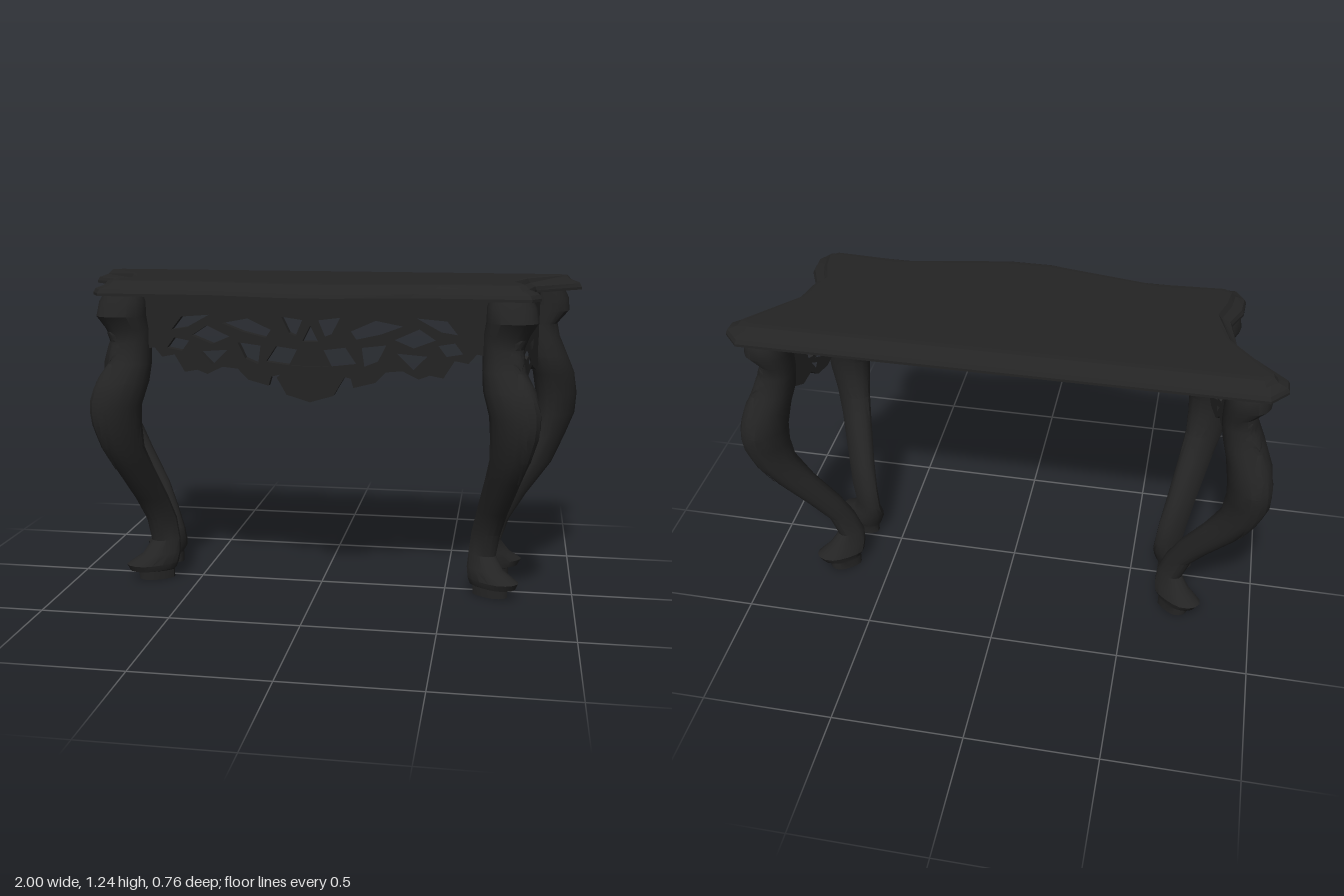
import * as THREE from 'three';
import { toCreasedNormals } from 'three/addons/utils/BufferGeometryUtils.js';

const V2 = (p) => new THREE.Vector2(p[0], p[1]);
const mirrorX = (pts) => pts.map(([x, y]) => [-x, y]);

// Grid of points (rows x columns) to a creased mesh; flip reverses the winding
function gridGeometry(rows, flip, closed, crease) {
  const n = rows[0].length, index = [];
  for (let j = 0; j < rows.length - 1; j++) {
    for (let i = 0; i < (closed ? n : n - 1); i++) {
      const a = j * n + i, b = j * n + (i + 1) % n, c = a + n, d = b + n;
      if (flip) index.push(a, c, b, b, c, d);
      else index.push(a, b, c, b, d, c);
    }
  }
  const geo = new THREE.BufferGeometry();
  geo.setAttribute('position', new THREE.Float32BufferAttribute(rows.flat(2), 3));
  geo.setIndex(index);
  return toCreasedNormals(geo, crease);
}

// Leg sections, top to bottom: y, x inner, x outer, z back, z front
const FRONT_LEG = [
  [1.19, .65, .80, .13, .28], [1.155, .64, .82, .13, .295], [1.10, .64, .83, .135, .308],
  [1.05, .63, .80, .135, .28], [1.0, .63, .78, .135, .275], [.92, .63, .79, .14, .295],
  [.85, .635, .83, .16, .335], [.76, .66, .85, .195, .345], [.68, .665, .84, .19, .335],
  [.59, .665, .815, .18, .305], [.5, .65, .785, .125, .255], [.35, .62, .74, .035, .145],
  [.25, .60, .715, -.005, .08], [.16, .59, .70, -.015, .07], [.11, .585, .73, -.012, .115],
  [.07, .59, .79, -.005, .15], [.045, .60, .78, 0, .14], [.035, .61, .75, .005, .10],
  [0, .61, .75, .005, .10], [0, .68, .68, .05, .05],
];
const BACK_LEG = [
  [1.19, .79, .93, -.33, -.16], [1.15, .79, .95, -.345, -.16], [1.10, .79, .955, -.345, -.16],
  [1.05, .79, .91, -.32, -.16], [1.0, .79, .92, -.315, -.16], [.92, .80, .955, -.335, -.15],
  [.85, .82, .985, -.36, -.17], [.76, .835, 1.0, -.38, -.195], [.68, .84, .995, -.365, -.2],
  [.59, .83, .96, -.345, -.2], [.48, .77, .91, -.30, -.185], [.35, .69, .81, -.25, -.15],
  [.25, .645, .745, -.21, -.125], [.16, .615, .715, -.2, -.115], [.11, .61, .75, -.23, -.118],
  [.07, .615, .80, -.265, -.125], [.045, .63, .785, -.255, -.13], [.035, .63, .75, -.24, -.14],
  [0, .63, .75, -.24, -.14], [0, .69, .69, -.19, -.19],
];

// Point on a leg section: round at the top, lower down squarer and drawn out along the diagonal (sign lean)
function legPoint([y, x0, x1, z0, z1], angle, side, lean, swell = 1) {
  const low = THREE.MathUtils.clamp((1.05 - y) / .5, 0, 1);
  const soft = (v) => Math.sign(v) * Math.pow(Math.abs(v), .85 + .3 * low) * swell / 2;
  const skew = lean * .2 * low;
  return [side * ((x0 + x1) / 2 + (x1 - x0) * soft(Math.cos(angle - skew))), y,
    (z0 + z1) / 2 + (z1 - z0) * soft(Math.sin(angle + skew))];
}

function sectionAt(sections, y) {
  const j = sections.findIndex((s, i) => sections[i + 1][0] <= y);
  const a = sections[j], b = sections[j + 1], t = (a[0] - y) / (a[0] - b[0]);
  return a.map((v, k) => v + (b[k] - v) * t);
}

function makeLeg(name, sections, side, lean, mat) {
  const group = new THREE.Group();
  group.name = name;
  const N = 16;
  const rows = sections.map((s) =>
    Array.from({ length: N }, (_, i) => legPoint(s, i * Math.PI * 2 / N, side, lean)));
  const body = new THREE.Mesh(gridGeometry(rows, side < 0, true, .6), mat);
  body.name = 'cabrioleLeg';
  group.add(body);
  // Carved leaves with jagged edges on the outer face: below the capital and over the knee
  for (const [top, bottom, width] of [[1.04, .93, .65], [.92, .5, .8]]) {
    const steps = 9, leafRows = [];
    for (let j = 0; j <= steps; j++) {
      const t = j / steps;
      const half = width * Math.sin(Math.PI * (.12 + .86 * t)) * (j % 2 ? 1 : .7);
      const s = sectionAt(sections, top + (bottom - top) * t);
      leafRows.push([-1, -.5, 0, .5, 1].map((k) =>
        legPoint(s, lean * Math.PI / 4 + k * half, side, lean, 1.07 - .05 * k * k)));
    }
    const leaf = new THREE.Mesh(gridGeometry(leafRows, side < 0, false, .4), mat);
    leaf.name = 'carvedLeaf';
    group.add(leaf);
  }
  return group;
}

// Table top: outer lip and inner field outlines (right half, x and z, front to back)
const LIP = [[.08, .38], [.37, .31], [.80, .31], [.835, .25], [.83, .17], [.79, .08],
  [.82, -.09], [1, -.26], [1, -.31], [.94, -.378]];
const FIELD = [[.09, .295], [.51, .225], [.735, .245], [.76, .235], [.745, .16], [.72, .07],
  [.775, -.09], [.92, -.28], [.925, -.295], [.90, -.305]];

function makeTop(mat) {
  const group = new THREE.Group();
  group.name = 'tableTop';
  const full = (half) => [...half, ...mirrorX(half).reverse()];
  const lip = full(LIP), field = full(FIELD);
  const outline = (t) => lip.map(([x, z], i) => [x + (field[i][0] - x) * t, z + (field[i][1] - z) * t]);
  const profile = [[1, 1.236], [.75, 1.234], [.55, 1.217], [.1, 1.204], [0, 1.19], [0, 1.18], [.3, 1.18]];
  // The outline runs front to back on +x, so the winding is reversed
  const rows = profile.map(([t, y]) => outline(t).map(([x, z]) => [x, y, z]));
  const edge = new THREE.Mesh(gridGeometry(rows, true, true, .3), mat);
  edge.name = 'mouldedEdge';
  group.add(edge);
  for (const [name, t, y, turn] of [['topField', 1, 1.236, -1], ['underside', .3, 1.18, 1]]) {
    const geo = new THREE.ShapeGeometry(new THREE.Shape(outline(t).map(([x, z]) => V2([x, turn * z]))));
    geo.rotateX(turn * Math.PI / 2);
    geo.translate(0, y, 0);
    const cap = new THREE.Mesh(geo, mat);
    cap.name = name;
    group.add(cap);
  }
  return group;
}

// Pierced panel cut in a flat shape, then set in place by a rule
function piercedPanel(name, outline, holes, depth, place, mat) {
  const shape = new THREE.Shape(outline.map(V2));
  shape.holes = holes.map((h) => new THREE.Path(h.map(V2)));
  const geo = new THREE.ExtrudeGeometry(shape, { depth, bevelEnabled: false });
  geo.translate(0, 0, -depth / 2);
  const p = geo.attributes.position;
  for (let i = 0; i < p.count; i++) p.setXYZ(i, ...place(p.getX(i), p.getY(i), p.getZ(i)));
  geo.computeVertexNormals();
  const mesh = new THREE.Mesh(geo, mat);
  mesh.name = name;
  return mesh;
}

// Left half of the front apron, with half of the middle opening notched into its inner edge
const APRON_EDGE = [[0, 1.18], [.66, 1.18], [.66, .97], [.61, .98], [.58, .945], [.53, .955], [.49, .89],
  [.44, .90], [.40, .885], [.34, .915], [.28, .91], [.24, .87], [.16, .85], [.15, .885], [.09, .9],
  [0, .9], [0, 1.02], [.03, 1.02], [0, 1.08]];
const APRON_HOLES = [
  [[.03, 1.10], [.11, 1.11], [.08, 1.05], [.055, 1.04]],
  [[.05, .99], [.13, 1.0], [.17, .94], [.08, .93]],
  [[.15, 1.06], [.24, 1.10], [.34, 1.08], [.26, 1.05], [.17, 1.03]],
  [[.19, 1.0], [.28, 1.01], [.25, .95], [.20, .93]],
  [[.31, 1.03], [.40, 1.07], [.46, 1.03], [.38, 1.0]],
  [[.32, .98], [.43, .97], [.38, .92]],
  [[.39, 1.11], [.50, 1.10], [.54, 1.05], [.48, 1.06]],
  [[.47, 1.01], [.53, 1.02], [.56, .98], [.50, .97]],
];
const SIDE_EDGE = [[.17, 1.18], [.17, .9], [.13, .9], [.11, .875], [.06, .905], [.01, .87], [-.05, .865],
  [-.09, .90], [-.14, .875], [-.2, .9], [-.2, 1.18]];
const SIDE_HOLES = [
  [[.05, 1.10], [.02, 1.11], [-.02, 1.065], [-.06, 1.10], [-.10, 1.09], [-.10, 1.04], [-.02, 1.02], [.06, 1.025]],
  [[.06, 1.0], [.01, .985], [.03, .96], [.055, .965]],
  [[-.10, 1.0], [-.05, .985], [-.07, .96], [-.095, .965]],
  [[-.02, .965], [.015, .945], [-.02, .93], [-.055, .945]],
  [[.04, .935], [.01, .92], [.02, .9]],
  [[-.08, .935], [-.05, .92], [-.06, .9]],
];

export function createModel() {
  const wood = new THREE.MeshStandardMaterial({ color: 0x242424 });
  wood.name = 'blackWood';
  const table = new THREE.Group();
  table.name = 'consoleTable';
  table.add(makeTop(wood));

  for (const [word, side] of [['left', 1], ['right', -1]]) {
    table.add(makeLeg(word + 'FrontLeg', FRONT_LEG, side, 1, wood));
    table.add(makeLeg(word + 'BackLeg', BACK_LEG, side, -1, wood));
    // Side apron slants outward towards the back leg
    table.add(piercedPanel(word + 'SideApron', SIDE_EDGE, SIDE_HOLES, .03,
      (u, y, w) => [side * (.77 - .32 * u) - w, y, u], wood));
    // Front apron half, coming forward to the middle
    const own = (pts) => (side > 0 ? pts : mirrorX(pts));
    table.add(piercedPanel(word + 'FrontApron', own(APRON_EDGE), APRON_HOLES.map(own), .035,
      (x, y, w) => [x, y, .255 - .08 * Math.abs(x) + w], wood));
  }

  // Shell pendant with fluted rim under the apron
  const lobes = Array.from({ length: 9 }, (_, i) => {
    const a = Math.PI * (1 + i / 8), r = i % 2 ? .92 : 1;
    return [.125 * r * Math.cos(a), .885 + .09 * r * Math.sin(a)];
  });
  table.add(piercedPanel('shellPendant', [...lobes, [.07, .93], [-.07, .93]], [], .05,
    (x, y, w) => [x, y, .255 + w], wood));

  // Shallow rail between the back legs
  const rail = new THREE.Mesh(new THREE.BoxGeometry(1.64, .05, .03), wood);
  rail.name = 'backRail';
  rail.position.set(0, 1.157, -.29);
  table.add(rail);
  return table;
}
